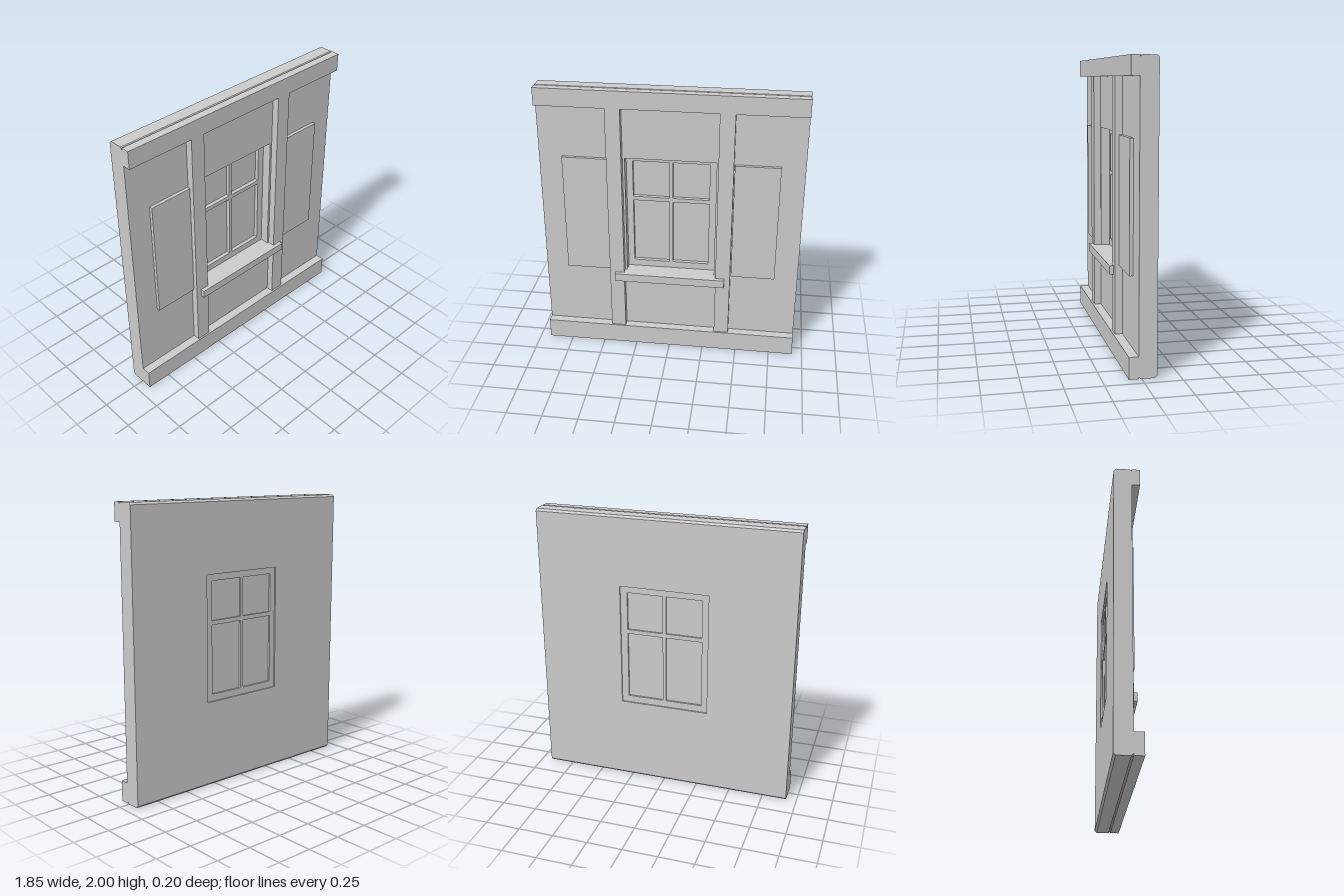
import * as THREE from 'three';

export function createModel() {
  const root = new THREE.Group();
  const mat = new THREE.MeshStandardMaterial({ color: 0xcccccc, flatShading: true });

  const add = (name, geometry) => {
    const mesh = new THREE.Mesh(geometry, mat);
    mesh.name = name;
    root.add(mesh);
    return mesh;
  };
  // Box given by its extents on each axis
  const box = (name, x0, x1, y0, y1, z0, z1) => {
    const g = new THREE.BoxGeometry(x1 - x0, y1 - y0, z1 - z0);
    return add(name, g.translate((x0 + x1) / 2, (y0 + y1) / 2, (z0 + z1) / 2));
  };
  const rect = (Type, x0, x1, y0, y1) => new Type([
    new THREE.Vector2(x0, y0), new THREE.Vector2(x1, y0),
    new THREE.Vector2(x1, y1), new THREE.Vector2(x0, y1),
  ]);
  // Plate with rectangular holes, from z0 to z1
  const plate = (outer, holes, z0, z1, steps = 1) => {
    const shape = rect(THREE.Shape, ...outer);
    for (const h of holes) shape.holes.push(rect(THREE.Path, ...h));
    return new THREE.ExtrudeGeometry(shape, { depth: z1 - z0, steps, bevelEnabled: false }).translate(0, 0, z0);
  };

  const W = 0.925;
  const opening = [-0.32, 0.32, 0.61, 1.5];

  // Wall slab, its top and bottom edges chamfered front and back
  const zBack = -0.1, zFront = 0.02, chamfer = 0.015;
  const wall = plate([-W, W, 0, 2], [opening], zBack, zFront, 8);
  const p = wall.attributes.position;
  for (let i = 0; i < p.count; i++) {
    const z = p.getZ(i), y = p.getY(i);
    if (z > zBack + 0.001 && z < zFront - 0.001) continue;
    if (y > 1.999) p.setY(i, 2 - chamfer);
    if (y < 0.001) p.setY(i, chamfer);
  }
  wall.computeVertexNormals();
  add('wall', wall);

  // Horizontal beams
  box('topBeam', -W, W, 1.875, 2, 0.018, 0.075);
  box('bottomBeam', -W, W, 0, 0.145, 0.018, 0.083);

  // Posts and shutters on both sides of the window
  for (const s of [-1, 1]) {
    const side = s > 0 ? 'left' : 'right';
    const span = (a, b) => (s > 0 ? [a, b] : [-b, -a]);
    box(side + 'Post', ...span(0.335, 0.44), 0.145, 1.875, 0.015, 0.071);
    box(side + 'Shutter', ...span(0.445, 0.76), 0.62, 1.495, 0.015, 0.044);
  }

  // Window sill
  box('sill', -0.4, 0.4, 0.55, 0.61, 0.01, 0.1);

  // Window frame with four lights, and the glass behind its bars
  const lights = [];
  for (const [x0, x1] of [[-0.275, -0.014], [0.01, 0.27]])
    for (const [y0, y1] of [[0.66, 1.15], [1.18, 1.455]]) lights.push([x0, x1, y0, y1]);
  add('windowFrame', plate(opening, lights, -0.09, -0.045));
  box('glass', -0.29, 0.29, 0.645, 1.47, -0.077, -0.073);

  return root;
}
